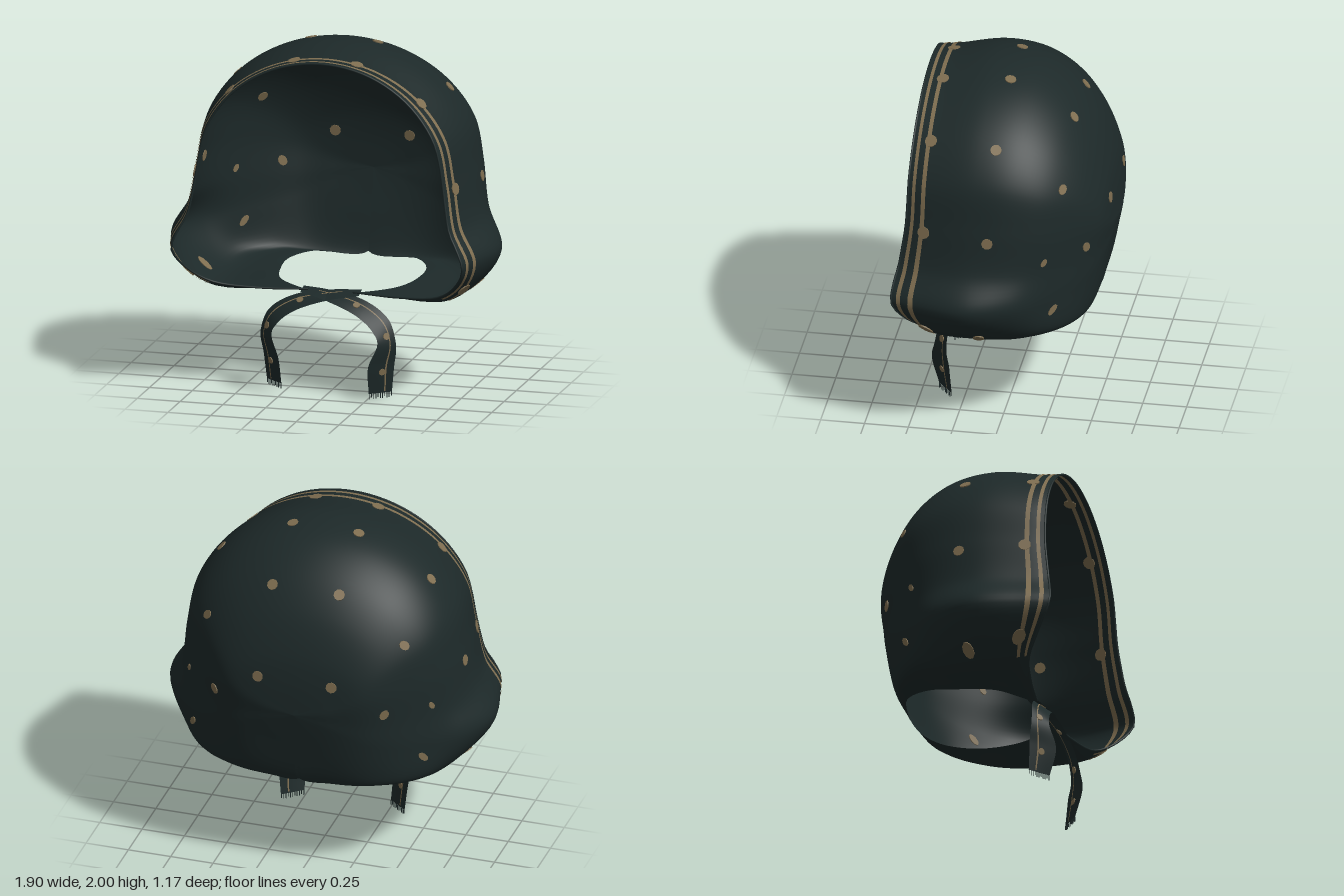
import * as THREE from 'three';

const cloth = new THREE.MeshStandardMaterial({ name: 'dark teal cloth', color: 0x1d2929, side: THREE.DoubleSide });
const tan = new THREE.MeshStandardMaterial({ name: 'tan print', color: 0x7f6e50, side: THREE.DoubleSide });
const V = (x, y, z) => new THREE.Vector3(x, y, z);

// Depth stations from face opening to back centre:
// crown [y, z], then side, cheek, jaw and neck edge as [x, y, z]
const stations = [
  [[1.95, 0.50], [0.72, 1.28, 0.52], [0.85, 0.84, 0.58], [0.66, 0.62, 0.41], [0.13, 0.585, 0.30]],
  [[1.955, 0.40], [0.755, 1.29, 0.41], [0.89, 0.84, 0.45], [0.71, 0.595, 0.35], [0.18, 0.58, 0.26]],
  [[2.00, 0.13], [0.80, 1.31, 0.15], [0.95, 0.84, 0.15], [0.72, 0.585, 0.15], [0.34, 0.585, 0.12]],
  [[1.965, -0.10], [0.79, 1.31, -0.06], [0.87, 0.84, -0.09], [0.72, 0.60, -0.08], [0.40, 0.59, -0.08]],
  [[1.85, -0.29], [0.725, 1.29, -0.24], [0.74, 0.84, -0.25], [0.68, 0.63, -0.25], [0.40, 0.605, -0.26]],
  [[1.67, -0.44], [0.58, 1.26, -0.41], [0.58, 0.86, -0.40], [0.54, 0.64, -0.39], [0.30, 0.615, -0.41]],
  [[1.45, -0.535], [0.41, 1.20, -0.53], [0.41, 0.90, -0.50], [0.34, 0.67, -0.475], [0, 0.62, -0.475]],
  [[1.29, -0.567], [0.22, 1.12, -0.57], [0.22, 1.00, -0.555], [0.15, 0.90, -0.54], [0, 0.85, -0.53]],
  [[1.08, -0.58], [0, 1.08, -0.58], [0, 1.08, -0.58], [0, 1.08, -0.58], [0, 1.08, -0.58]],
];
const U = 8, LAST = stations.length - 1;

// One full ring: rounded crown arc, then the lower key points, mirrored in x
const rings = stations.map(([top, side, ...low]) => {
  const half = [];
  for (let i = 0; i <= 4; i++) {
    const a = i * Math.PI / 8, c = i === 4 ? 0 : Math.cos(a);
    half.push(V(side[0] * Math.sin(a), side[1] + (top[0] - side[1]) * c,
      top[1] + (side[2] - top[1]) * (1 - c)));
  }
  // Waist between side and cheek, drawn in where the cheek flares
  const waist = V(...side).lerp(V(...low[0]), 0.55);
  waist.x -= 0.21 * Math.max(0, low[0][0] - side[0]);
  half.push(waist);
  low.forEach(p => half.push(V(...p)));
  const mirrored = half.slice(1).reverse().map(p => V(-p.x, p.y, p.z));
  return new THREE.CatmullRomCurve3([...mirrored, ...half]);
});

// Surface point for u in -8..8 (around the head) and v in 0..8 (front to back)
const columns = new Map();
function hood(u, v) {
  if (!columns.has(u)) {
    const t = THREE.MathUtils.clamp((u + U) / (2 * U), 0, 1);
    columns.set(u, new THREE.CatmullRomCurve3(rings.map(r => r.getPoint(t))));
  }
  return columns.get(u).getPoint(THREE.MathUtils.clamp(v / LAST, 0, 1));
}

function normalAt(f, u, v) {
  const e = 0.01;
  const du = f(u + e, v).sub(f(u - e, v)), dv = f(u, v + e).sub(f(u, v - e));
  return du.cross(dv).normalize();
}

// Grid mesh over a parametric surface, optionally raised along its normal
function patch(name, f, u0, u1, v0, v1, nu, nv, mat, lift = 0) {
  const pos = [], idx = [];
  for (let j = 0; j <= nv; j++) for (let i = 0; i <= nu; i++) {
    const u = u0 + (u1 - u0) * i / nu, v = v0 + (v1 - v0) * j / nv;
    const p = f(u, v);
    if (lift) p.addScaledVector(normalAt(f, u, v), lift);
    pos.push(p.x, p.y, p.z);
    if (i < nu && j < nv) {
      const a = j * (nu + 1) + i, b = a + nu + 1;
      idx.push(a, a + 1, b, a + 1, b + 1, b);
    }
  }
  const g = new THREE.BufferGeometry();
  g.setAttribute('position', new THREE.Float32BufferAttribute(pos, 3));
  g.setIndex(idx);
  g.computeVertexNormals();
  const m = new THREE.Mesh(g, mat);
  m.name = name;
  return m;
}

// Thin printed spot lying on a surface, showing on both faces
function spot(name, p, n, r, length = 1, width = 1) {
  const m = new THREE.Mesh(new THREE.CylinderGeometry(r, r, 0.0095, 10), tan);
  m.position.copy(p);
  m.quaternion.setFromUnitVectors(V(0, 1, 0), n);
  m.scale.set(length, 1, width);
  m.name = name;
  return m;
}

// Nearest place on the hood to a wanted position
function nearest(target) {
  let best = null, d = Infinity;
  for (let u = -7.75; u <= 7.75; u += 0.125) for (let v = 0.25; v < LAST - 0.2; v += 0.125) {
    const q = hood(u, v).distanceToSquared(target);
    if (q < d) { d = q; best = [u, v]; }
  }
  return best;
}

// Ribbon path centres and half-width vectors, for the tie hanging on +x
const tiePath = new THREE.CatmullRomCurve3([V(-0.17, 0.58, 0.285), V(0, 0.56, 0.32), V(0.2, 0.505, 0.355),
  V(0.315, 0.42, 0.375), V(0.352, 0.32, 0.385), V(0.322, 0.19, 0.39), V(0.31, 0.03, 0.365)]);
const tieWidth = new THREE.CatmullRomCurve3([V(0, 0.01, -0.035), V(0, 0.02, -0.05), V(0.015, 0.035, -0.045),
  V(0.035, 0.03, -0.04), V(0.043, 0, -0.04), V(0.06, 0, -0.06), V(0.055, 0, -0.045)]);

function makeTie(side, raise) {
  const g = new THREE.Group();
  g.name = side > 0 ? 'leftTie' : 'rightTie';
  const f = (u, v) => {
    const t = THREE.MathUtils.clamp(u, 0, 1);
    const p = tiePath.getPoint(t).addScaledVector(tieWidth.getPoint(t), v);
    p.y += raise * t;
    p.x *= side;
    return p;
  };
  g.add(patch('ribbon', f, 0, 1, -1, 1, 48, 4, cloth));
  for (const lift of [-0.003, 0.003])
    g.add(patch('ribbonStripe', f, 0.1, 0.99, 0.3, 0.42, 48, 1, tan, lift));
  for (const t of [0.3, 0.6, 0.87]) g.add(spot('ribbonSpot', f(t, 0.1), normalAt(f, t, 0.1), 0.02));
  // Frayed threads at the ribbon end
  for (let i = 0; i < 11; i++) {
    const len = 0.03 - 0.008 * (i % 3 === 1);
    const thread = new THREE.Mesh(new THREE.BoxGeometry(0.004, len, 0.004), cloth);
    thread.position.copy(f(1, -0.95 + 0.19 * i));
    thread.position.y -= len / 2;
    thread.name = 'fringeThread';
    g.add(thread);
  }
  return g;
}

export function createModel() {
  const model = new THREE.Group();
  model.name = 'bonnet';

  model.add(patch('hood', hood, -U, U, 0, LAST, 128, 64, cloth));

  // Rolled hem around the face opening
  const rim = [];
  for (let u = -U; u <= U; u += 0.5) rim.push(hood(u, 0));
  const hem = new THREE.Mesh(new THREE.TubeGeometry(new THREE.CatmullRomCurve3(rim), 100, 0.006, 6), cloth);
  hem.name = 'hem';
  model.add(hem);

  // Two stripes beside the hem, on the outside and the lining
  for (const v of [0.36, 0.9]) for (const lift of [-0.004, 0.004])
    model.add(patch('hemStripe', hood, -7, 7, v - 0.1, v + 0.1, 128, 2, tan, lift));

  // Printed spots as [x, y, z, length, width], mirrored left and right
  const spots = [[0.21, 1.97, 0.02], [0.21, 1.78, -0.37], [0.62, 1.75, 0.01], [0.57, 1.5, -0.35, 1, 0.8],
    [0.21, 1.28, -0.54], [0.8, 1.23, 0.05], [0.74, 1.1, -0.27, 0.8, 0.5], [0.5, 1.1, -0.45, 0.8, 1],
    [0.65, 0.78, -0.28, 1.2, 0.6], [0.77, 0.65, 0.1, 1.7]];
  const scallops = [[0.2, 1.93, 0.39], [0.56, 1.74, 0.39], [0.74, 1.25, 0.4], [0.8, 0.66, 0.39, 1.4]];
  for (const [list, name, r] of [[spots, 'spot', 0.032], [scallops, 'hemScallop', 0.036]])
    for (const [x, y, z, length, width] of list) for (const s of [-1, 1]) {
      const [u, v] = nearest(V(s * x, y, z));
      model.add(spot(name, hood(u, v), normalAt(hood, u, v), r, length, width));
    }

  model.add(makeTie(1, 0), makeTie(-1, 0.025));
  return model;
}
